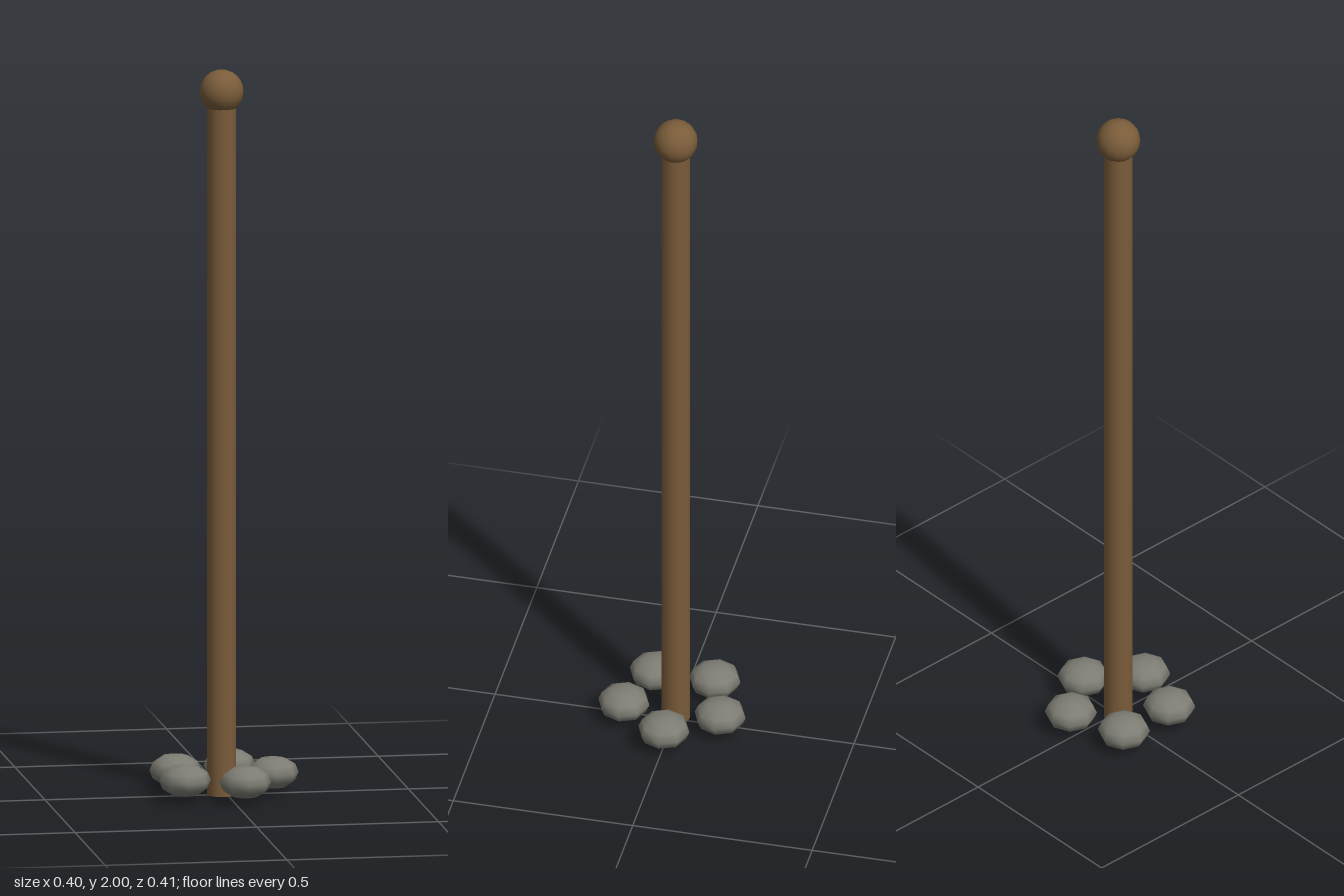
import * as THREE from 'three';

export function createModel() {
  const group = new THREE.Group();
  const wood = new THREE.MeshStandardMaterial({ color: 0x7a5c3a });
  wood.name = 'brown wood';
  const rock = new THREE.MeshStandardMaterial({ color: 0x7d7d74 });
  rock.name = 'grey stone';

  const add = (name, geometry, material, x, y, z) => {
    const mesh = new THREE.Mesh(geometry, material);
    mesh.name = name;
    mesh.position.set(x, y, z);
    group.add(mesh);
    return mesh;
  };

  // Upright pole with a round knob on top
  const poleX = -0.014;
  add('pole', new THREE.CylinderGeometry(0.04, 0.04, 1.94, 12), wood, poleX, 0.97, 0);
  add('knob', new THREE.SphereGeometry(0.06, 16, 12), wood, poleX, 1.94, 0);

  // Ring of five flattened stones around the foot
  const stone = new THREE.SphereGeometry(0.071, 8, 6).scale(1, 0.63, 1);
  const ring = 0.141;
  for (let i = 0; i < 5; i++) {
    const a = (i * Math.PI * 2) / 5;
    add(`stone${i + 1}`, stone, rock, poleX + ring * Math.cos(a), 0.057, ring * Math.sin(a));
  }
  return group;
}
